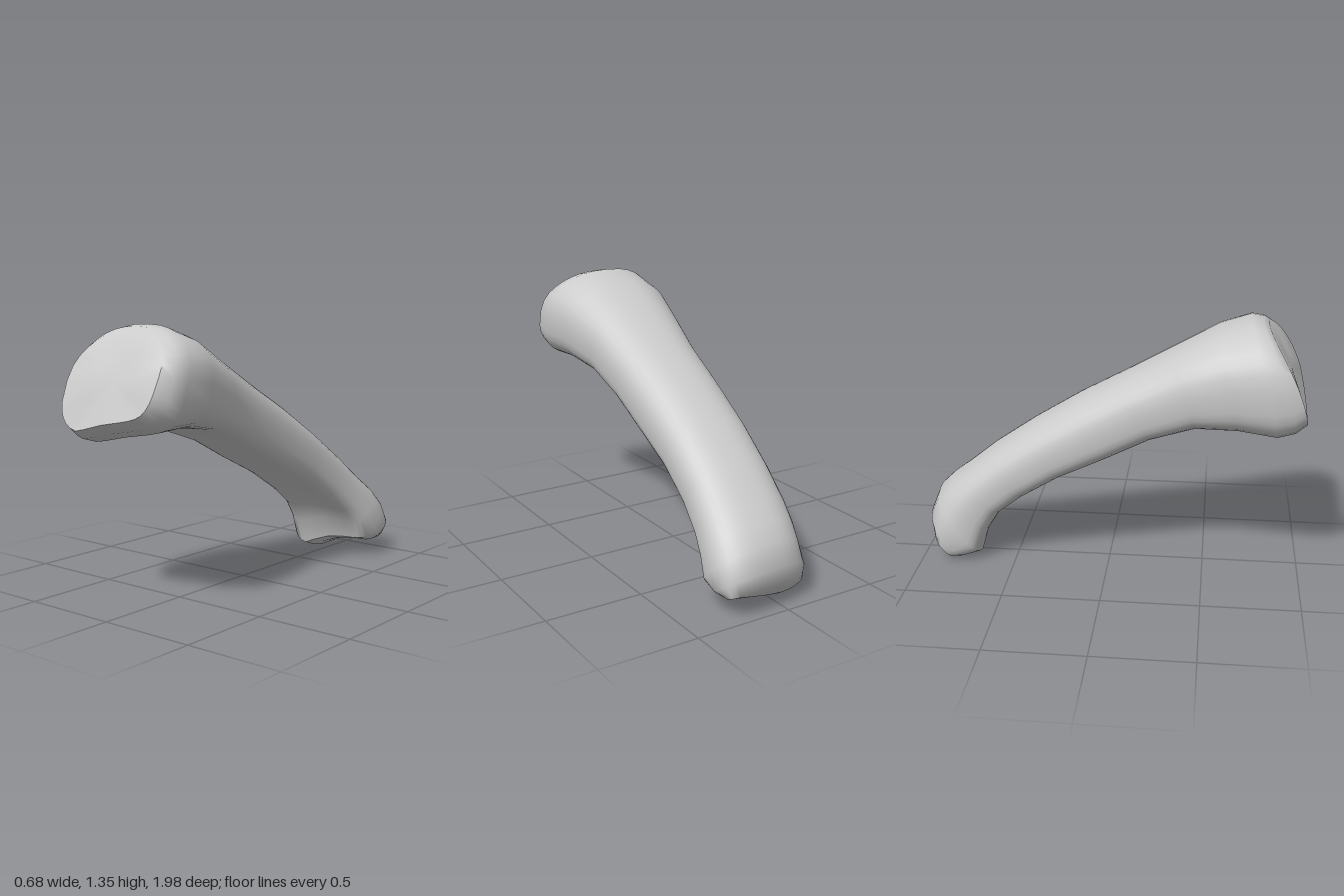
import * as THREE from 'three';
import { toCreasedNormals } from 'three/addons/utils/BufferGeometryUtils.js';

const SIDES = 32;

// Cross-sections from the broad base (front) to the knuckle (back):
// top z, top y, bottom z, bottom y, min x, max x, tilt of the underside
const SECTIONS = [
  [0.79, 1.325, 0.995, 0.86, -0.305, 0.28, 0.09],
  [0.76, 1.345, 0.935, 0.815, -0.335, 0.325, 0.09],
  [0.70, 1.355, 0.85, 0.79, -0.34, 0.335, 0.09],
  [0.55, 1.305, 0.66, 0.82, -0.33, 0.315, 0.06],
  [0.34, 1.19, 0.45, 0.815, -0.28, 0.265, 0.02],
  [0.10, 1.055, 0.22, 0.735, -0.238, 0.245, 0],
  [-0.15, 0.92, 0.00, 0.62, -0.225, 0.243, 0],
  [-0.40, 0.765, -0.25, 0.50, -0.212, 0.245, 0],
  [-0.62, 0.61, -0.45, 0.375, -0.197, 0.26, 0],
  [-0.78, 0.475, -0.58, 0.275, -0.19, 0.285, 0],
  [-0.87, 0.40, -0.65, 0.17, -0.187, 0.31, 0.03],
  [-0.94, 0.33, -0.69, 0.035, -0.183, 0.325, 0.07],
  [-0.985, 0.22, -0.78, 0.005, -0.177, 0.32, 0.08],
  [-0.97, 0.13, -0.85, 0.00, -0.155, 0.285, 0.08],
];

const power = (v, e) => Math.sign(v) * Math.abs(v) ** e;
const { lerp, smoothstep } = THREE.MathUtils;

// One rounded ring: squarer below, hollowed between two uneven lower lobes
function ring([zt, yt, zb, yb, x0, x1, tilt]) {
  const knuckle = smoothstep(-zt, 0.7, 0.95);
  const base = smoothstep(zt, 0.2, 0.75);
  const groove = 0.02 + 0.02 * knuckle;
  const bow = 0.035 * smoothstep(zt, 0.6, 0.79);
  const taper = 0.1 + 0.06 * base;
  const points = [];
  for (let i = 0; i < SIDES; i++) {
    const a = (i / SIDES) * Math.PI * 2;
    const e = Math.sin(a) < 0 ? 0.56 : 0.76;
    const u = power(Math.cos(a), e);
    const t = 0.5 + 0.5 * power(Math.sin(a), e);
    const narrow = 1 - taper * Math.max(0, 2 * t - 1) ** 2;
    const x = (x0 + x1) / 2 + ((x1 - x0) / 2) * u * narrow;
    const low = 1 - t;
    const rise = tilt * Math.max(0, u + 0.6) / 1.6;
    const hollow = groove * Math.max(0, 1 - ((u - 0.1) / 0.7) ** 2);
    const y = lerp(yb, yt, t) + low * (rise + hollow);
    const z = lerp(zb, zt, t) + bow * 4 * t * low - 0.02 * knuckle * u;
    points.push(new THREE.Vector3(x, y, z));
  }
  return points;
}

function boneGeometry() {
  const rings = SECTIONS.map(ring);
  const vertices = rings.flat();
  const index = [];
  const last = rings.length - 1;

  // Skin between neighbouring rings
  for (let r = 0; r < last; r++) {
    for (let i = 0; i < SIDES; i++) {
      const j = (i + 1) % SIDES;
      const a = r * SIDES + i, b = r * SIDES + j;
      index.push(a, a + SIDES, b, b, a + SIDES, b + SIDES);
    }
  }

  // Joint surfaces: an inner ring and a centre point close each end
  const cap = (r, bulge, front) => {
    const centre = bulge.clone();
    rings[r].forEach((p) => centre.addScaledVector(p, 1 / SIDES));
    const inner = vertices.length;
    rings[r].forEach((p) => vertices.push(p.clone().lerp(centre, 0.5)));
    const middle = vertices.push(centre) - 1;
    for (let i = 0; i < SIDES; i++) {
      const j = (i + 1) % SIDES;
      const a = r * SIDES + i, b = r * SIDES + j;
      const c = inner + i, d = inner + j;
      if (front) index.push(a, b, c, b, d, c, c, d, middle);
      else index.push(a, c, b, b, c, d, c, middle, d);
    }
  };
  cap(0, new THREE.Vector3(0, 0, 0), true);
  cap(last, new THREE.Vector3(0, -0.02, -0.015), false);

  const geometry = new THREE.BufferGeometry().setFromPoints(vertices);
  geometry.setIndex(index);
  return toCreasedNormals(geometry, 0.85);
}

export function createModel() {
  const model = new THREE.Group();
  model.name = 'fingerBone';
  const bone = new THREE.Mesh(
    boneGeometry(),
    new THREE.MeshStandardMaterial({ color: 0xcccccc }),
  );
  bone.name = 'boneShaftWithJointEnds';
  model.add(bone);
  return model;
}
